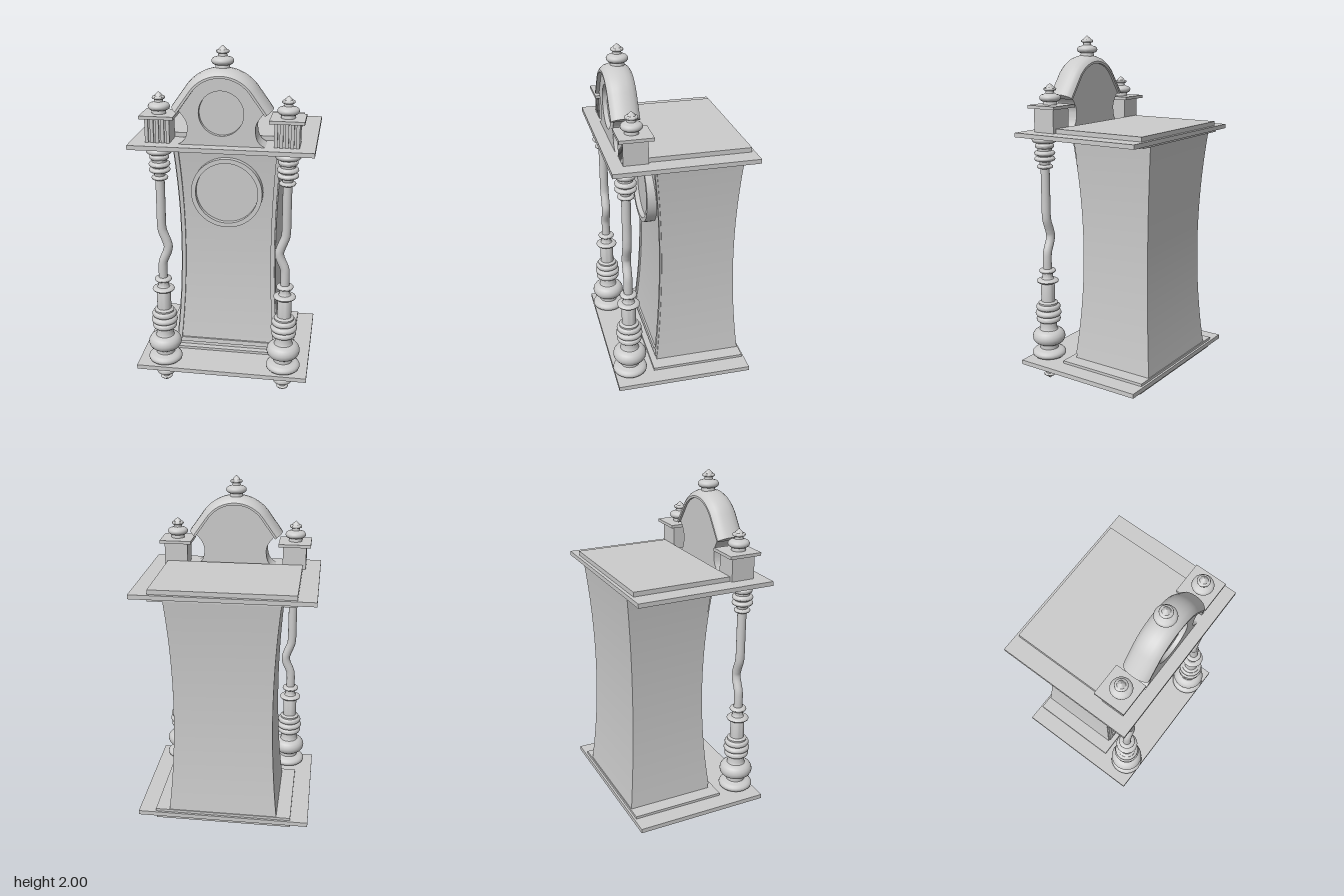
import * as THREE from 'three';
import { toCreasedNormals } from 'three/addons/utils/BufferGeometryUtils.js';
import { RoundedBoxGeometry } from 'three/addons/geometries/RoundedBoxGeometry.js';

const mat = new THREE.MeshStandardMaterial({ color: 0xcccccc });

function add(parent, name, geo, x = 0, y = 0, z = 0) {
  const m = new THREE.Mesh(geo, mat);
  m.name = name;
  m.position.set(x, y, z);
  parent.add(m);
  return m;
}

// Box given by its limits; round > 0 softens the edges
function slab(parent, name, [x0, x1], [y0, y1], [z0, z1], round = 0) {
  const s = [x1 - x0, y1 - y0, z1 - z0];
  const geo = round ? new RoundedBoxGeometry(...s, 3, round) : new THREE.BoxGeometry(...s);
  return add(parent, name, geo, (x0 + x1) / 2, (y0 + y1) / 2, (z0 + z1) / 2);
}

// Lathe from a list of [r, y] points and [r, y, halfHeight, neck] beads, bottom to top
function turned(list) {
  const pts = [];
  for (const [r, y, h, neck] of list) {
    if (!h) { pts.push(new THREE.Vector2(r, y)); continue; }
    for (let i = 0; i <= 8; i++) {
      const a = (i / 8) * Math.PI;
      pts.push(new THREE.Vector2(neck + (r - neck) * Math.sin(a), y - h * Math.cos(a)));
    }
  }
  return toCreasedNormals(new THREE.LatheGeometry(pts, 28), 0.8);
}

// Waisted case: u = -1..1 across, w = 0..1 from back to front, narrowing at mid height
function waisted([u0, u1], [y0, y1], [w0, w1]) {
  const geo = new THREE.BoxGeometry(u1 - u0, y1 - y0, w1 - w0, 1, 20, 1);
  geo.translate((u0 + u1) / 2, (y0 + y1) / 2, (w0 + w1) / 2);
  const p = geo.attributes.position;
  for (let i = 0; i < p.count; i++) {
    const y = p.getY(i), t = ((y - 0.82) / 0.64) ** 2;
    const back = -0.335 - 0.035 * t, front = 0.085 + 0.04 * t;
    p.setX(i, p.getX(i) * (0.275 + 0.035 * t));
    p.setZ(i, back + (front - back) * p.getZ(i));
  }
  geo.computeVertexNormals();
  return geo;
}

function extrude(shape, depth) {
  return toCreasedNormals(new THREE.ExtrudeGeometry(shape, { depth, bevelEnabled: false, curveSegments: 24 }), 0.5);
}

// Rounded moulding swept over the pediment: straight eaves tangent to a round top
function archMoulding() {
  const cy = 1.66, R = 0.185, a0 = 0.62, tail = 0.135;
  const path = [];
  for (let i = 0; i <= 32; i++) {
    const a = Math.PI - a0 - (i / 32) * (Math.PI - 2 * a0);
    path.push([R * Math.cos(a), cy + R * Math.sin(a), Math.cos(a), Math.sin(a)]);
  }
  const [x, y, nx, ny] = path[0];
  const ex = x - ny * tail, ey = y + nx * tail;
  path.unshift([ex, ey, nx, ny]);
  path.push([-ex, ey, -nx, ny]);
  const section = [[0.34, 0], [0.34, 0.012]];
  for (let i = 1; i < 8; i++) {
    const a = (i / 8) * Math.PI;
    section.push([0.263 + 0.072 * Math.cos(a), 0.012 + 0.034 * Math.sin(a)]);
  }
  section.push([0.187, 0.012], [0.187, 0]);
  const n = section.length, pos = [], idx = [];
  for (const [px, py, ux, uy] of path)
    for (const [z, o] of section) pos.push(px + ux * o, py + uy * o, z);
  const last = (path.length - 1) * n;
  for (let i = 0; i < path.length - 1; i++)
    for (let j = 0; j < n; j++) {
      const a = i * n + j, c = i * n + (j + 1) % n, b = a + n, d = c + n;
      idx.push(a, b, c, b, d, c);
    }
  for (let j = 1; j < n - 1; j++) idx.push(0, j, j + 1, last, last + j + 1, last + j);
  const geo = new THREE.BufferGeometry();
  geo.setAttribute('position', new THREE.Float32BufferAttribute(pos, 3));
  geo.setIndex(idx);
  return toCreasedNormals(geo, 0.6);
}

function pedimentShape() {
  const s = new THREE.Shape();
  s.moveTo(-0.23, 1.49);
  s.lineTo(0.23, 1.49);
  s.bezierCurveTo(0.185, 1.51, 0.18, 1.54, 0.178, 1.585);
  s.bezierCurveTo(0.18, 1.62, 0.205, 1.65, 0.235, 1.68);
  s.lineTo(0.151, 1.768);
  s.absarc(0, 1.66, 0.187, 0.62, Math.PI - 0.62, false);
  s.lineTo(-0.235, 1.68);
  s.bezierCurveTo(-0.205, 1.65, -0.18, 1.62, -0.178, 1.585);
  s.bezierCurveTo(-0.18, 1.54, -0.185, 1.51, -0.23, 1.49);
  return s;
}

const finial = turned([[0, 0], [0.038, 0], [0.038, 0.012], [0.058, 0.037, 0.019, 0.036], [0.024, 0.062],
  [0.022, 0.074], [0.035, 0.084, 0.009, 0.022], [0.018, 0.1], [0, 0.116]]);

const columnBase = turned([[0, 0.165], [0.098, 0.193, 0.025, 0.06], [0.053, 0.222], [0.053, 0.245],
  [0.095, 0.292, 0.043, 0.053], [0.048, 0.345], [0.048, 0.382], [0.07, 0.4, 0.016, 0.055],
  [0.075, 0.436, 0.018, 0.055], [0.07, 0.473, 0.017, 0.055], [0.056, 0.5], [0.04, 0.508], [0.04, 0.6],
  [0.063, 0.63, 0.013, 0.035], [0.03, 0.65], [0.03, 0.67], [0.048, 0.69, 0.012, 0.03], [0, 0.705]]);

const columnTop = turned([[0, 1.28], [0.045, 1.294, 0.011, 0.028], [0.03, 1.31], [0.03, 1.322],
  [0.058, 1.338, 0.013, 0.04], [0.058, 1.37, 0.014, 0.04], [0.04, 1.386], [0.053, 1.41, 0.014, 0.04],
  [0.07, 1.445, 0.019, 0.045], [0, 1.466]]);

const foot = turned([[0, 0.023], [0.018, 0.04], [0.034, 0.052, 0.008, 0.022], [0.022, 0.062], [0.026, 0.072],
  [0.057, 0.1, 0.022, 0.034], [0.034, 0.128], [0.034, 0.142], [0, 0.142]]);

export function createModel() {
  const clock = new THREE.Group();
  clock.name = 'columnClock';

  // Stepped base and top boards
  slab(clock, 'bottomBlock', [-0.188, 0.188], [0, 0.065], [-0.16, -0.015], 0.014);
  slab(clock, 'lowerStep', [-0.31, 0.31], [0.06, 0.12], [-0.295, 0.125], 0.014);
  slab(clock, 'upperStep', [-0.39, 0.39], [0.115, 0.142], [-0.365, 0.19]);
  slab(clock, 'baseBoard', [-0.49, 0.49], [0.14, 0.165], [-0.387, 0.385]);
  slab(clock, 'caseSeat', [-0.39, 0.39], [0.163, 0.18], [-0.375, 0.16]);
  slab(clock, 'topMoulding', [-0.39, 0.39], [1.455, 1.468], [-0.375, 0.16]);
  slab(clock, 'topBoard', [-0.49, 0.49], [1.466, 1.49], [-0.387, 0.385]);
  slab(clock, 'roofPanel', [-0.39, 0.39], [1.488, 1.515], [-0.368, 0.18]);

  // Waisted case with a thin framed door
  add(clock, 'case', waisted([-1, 1], [0.17, 1.465], [0, 1]));
  const door = new THREE.Group();
  door.name = 'door';
  clock.add(door);
  for (const s of [-1, 1])
    add(door, 'doorStile', waisted(s < 0 ? [-0.98, -0.9] : [0.9, 0.98], [0.2, 1.43], [0.95, 1.022]));
  add(door, 'bottomRail', waisted([-0.9, 0.9], [0.2, 0.225], [0.95, 1.022]));
  add(door, 'topRail', waisted([-0.9, 0.9], [1.405, 1.43], [0.95, 1.022]));

  // Dial: raised bezel around a recessed face
  const bezel = new THREE.Shape().absarc(0, 0, 0.2, 0, Math.PI * 2);
  bezel.holes.push(new THREE.Path().absarc(0, 0, 0.175, 0, Math.PI * 2, true));
  add(clock, 'dialBezel', extrude(bezel, 0.068), 0, 1.165, 0.08);
  const face = add(clock, 'dialFace', new THREE.CylinderGeometry(0.177, 0.177, 0.04, 48), 0, 1.165, 0.1);
  face.rotation.x = Math.PI / 2;

  // Pediment with a round recess, under an arched moulding
  const front = pedimentShape();
  front.holes.push(new THREE.Path().absarc(0, 1.66, 0.118, 0, Math.PI * 2, true));
  add(clock, 'pedimentBack', extrude(pedimentShape(), 0.095), 0, 0, 0.2);
  add(clock, 'pedimentFront', extrude(front, 0.025), 0, 0, 0.295);
  add(clock, 'archMoulding', archMoulding());
  add(clock, 'crownFinial', finial, 0, 1.884, 0.255);

  for (const s of [-1, 1]) {
    // Fluted pedestal, cap and finial
    const px = s * 0.341;
    slab(clock, 'pedestal', [px - 0.066, px + 0.066], [1.488, 1.622], [0.183, 0.305]);
    for (let i = 0; i < 5; i++) {
      const fx = px - 0.066 + i * 0.0285;
      slab(clock, 'pedestalFlute', [fx, fx + 0.018], [1.488, 1.622], [0.3, 0.315]);
    }
    slab(clock, 'pedestalCap', [px - 0.091, px + 0.091], [1.62, 1.637], [0.157, 0.338]);
    add(clock, 'sideFinial', finial, px, 1.637, 0.255);

    // Turned column whose shaft kinks towards the case
    const cx = s < 0 ? -0.338 : 0.35, cz = 0.294;
    const column = new THREE.Group();
    column.name = s < 0 ? 'rightColumn' : 'leftColumn';
    column.position.set(cx, 0, cz);
    clock.add(column);
    add(column, 'columnBase', columnBase);
    add(column, 'columnTop', columnTop);
    const path = new THREE.CatmullRomCurve3([[0, 0.69], [0, 0.76], [0.004, 0.8], [0.03, 0.865], [0.034, 0.895],
      [0.026, 0.925], [0.004, 0.985], [0, 1.02], [0, 1.1], [0, 1.3]].map(([d, y]) => new THREE.Vector3(-s * d, y, 0)));
    add(column, 'columnShaft', new THREE.TubeGeometry(path, 64, 0.025, 20));
    add(column, 'columnFoot', foot);
  }
  return clock;
}
